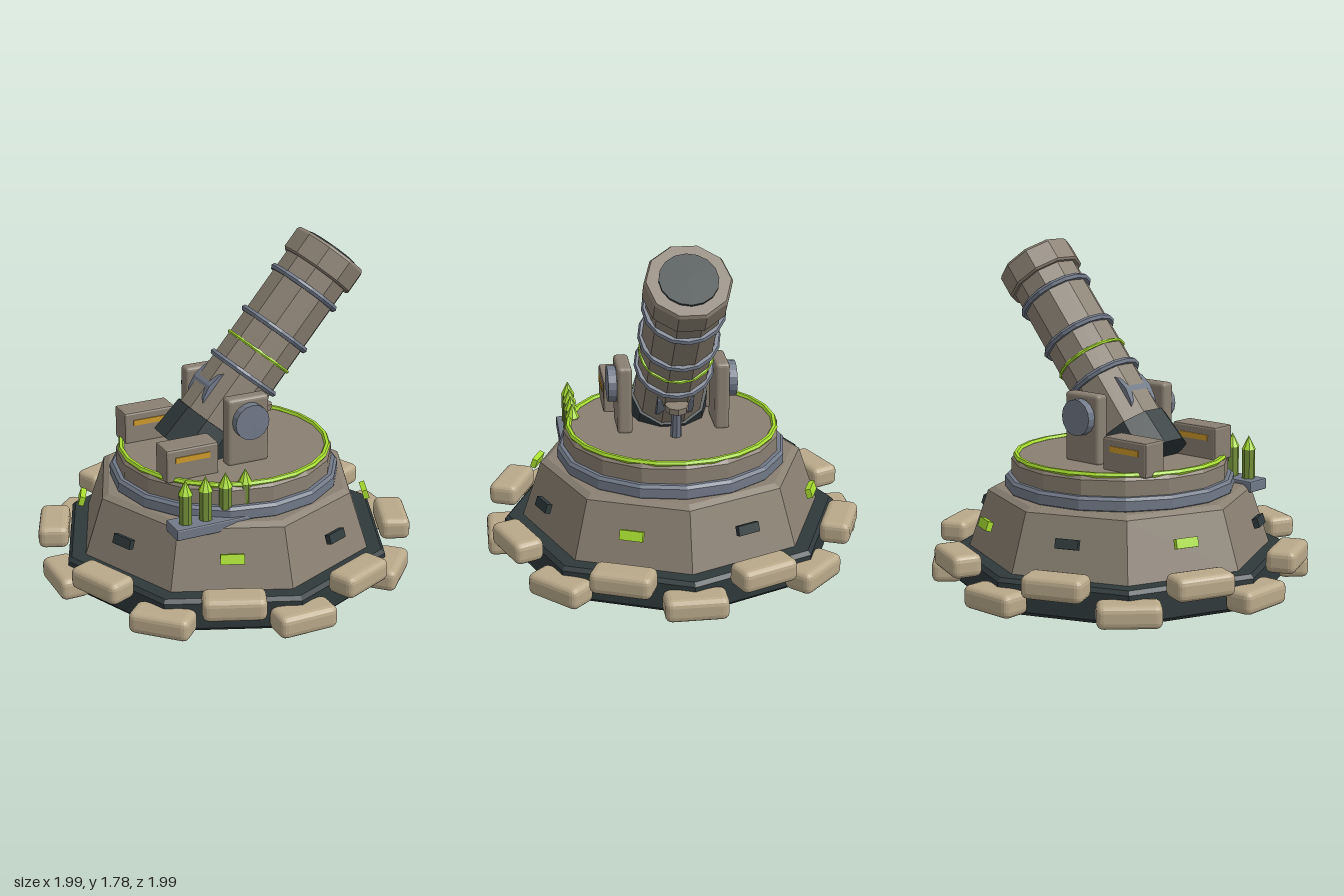
import * as THREE from 'three';
import { RoundedBoxGeometry } from 'three/addons/geometries/RoundedBoxGeometry.js';

const material = (name, color, flat = true) => {
  const m = new THREE.MeshStandardMaterial({ color, flatShading: flat });
  m.name = name;
  return m;
};

export function createModel() {
  const taupe = material('taupe armour', 0x8a8072);
  const dark = material('dark iron', 0x2f393b);
  const steel = material('blue grey steel', 0x717988);
  const lime = material('lime glow', 0xa8de30);
  const sand = material('sand canvas', 0xb9a98a);
  const amber = material('amber label', 0xcf9a2a);
  const olive = material('olive shell', 0x74903a);

  const model = new THREE.Group();
  model.name = 'mortarEmplacement';

  const add = (parent, name, geometry, mat, x = 0, y = 0, z = 0) => {
    const mesh = new THREE.Mesh(geometry, mat);
    mesh.name = name;
    mesh.position.set(x, y, z);
    parent.add(mesh);
    return mesh;
  };
  const lathe = (sides, ...pts) =>
    new THREE.LatheGeometry(pts.map(p => new THREE.Vector2(...p)), sides);
  const cyl = (rTop, rBottom, h, sides) => new THREE.CylinderGeometry(rTop, rBottom, h, sides);
  const ring = (r, tube, sides, tubeSides = 6) =>
    new THREE.TorusGeometry(r, tube, tubeSides, sides).rotateX(Math.PI / 2);

  // Octagonal foundation and sloped bunker
  add(model, 'foundation', lathe(8, [0, 0], [0.88, 0], [0.9, 0.02], [0.9, 0.16], [0.88, 0.18], [0, 0.18]), dark);
  add(model, 'bunker', lathe(8, [0, 0.17], [0.805, 0.17], [0.7, 0.48], [0.665, 0.5], [0, 0.5]), taupe);

  // Turntable
  add(model, 'turntableRing', lathe(16, [0, 0.49], [0.595, 0.49], [0.61, 0.505], [0.61, 0.555], [0.595, 0.57], [0, 0.57]), steel);
  add(model, 'platform', lathe(16, [0, 0.56], [0.575, 0.56], [0.575, 0.65], [0.56, 0.67], [0, 0.67]), taupe);
  add(model, 'platformGlowRing', ring(0.55, 0.016, 24), lime, 0, 0.672);

  // Two staggered rows of sandbags, with lamps and vents above them
  const bag = new RoundedBoxGeometry(0.32, 0.12, 0.16, 2, 0.035);
  for (let i = 0; i < 16; i++) {
    const a = i * Math.PI / 8, upper = i % 2;
    const b = add(model, 'sandbag', bag, sand, Math.sin(a) * 0.916, upper ? 0.197 : 0.076, Math.cos(a) * 0.916);
    b.rotation.y = a;
  }
  const plate = new THREE.BoxGeometry(0.12, 0.05, 0.03);
  for (let i = 0; i < 8; i++) {
    const a = (i + 0.5) * Math.PI / 4;
    const p = add(model, i % 2 ? 'wallLamp' : 'wallVent', plate, i % 2 ? lime : dark,
      Math.sin(a) * 0.762, 0.367, Math.cos(a) * 0.762);
    p.rotation.set(-0.32, a, 0, 'YXZ');
  }

  // Shell rack
  add(model, 'shellTray', new RoundedBoxGeometry(0.47, 0.06, 0.14, 1, 0.008), steel, -0.3, 0.49, 0.512);
  for (let i = 0; i < 4; i++) {
    const x = -0.46 + i * 0.11;
    add(model, 'shellBody', cyl(0.035, 0.035, 0.17, 8), olive, x, 0.597, 0.517);
    add(model, 'shellTip', cyl(0, 0.038, 0.075, 8), lime, x, 0.715, 0.517);
  }

  // Mirrored cheek brackets, trunnion caps and lockers
  for (const s of [1, -1]) {
    add(model, 'cheekBracket', new RoundedBoxGeometry(0.235, 0.37, 0.078, 2, 0.02), taupe, 0, 0.845, s * 0.257);
    add(model, 'trunnionCap', cyl(0.095, 0.095, 0.07, 16).rotateX(Math.PI / 2), steel, 0, 0.908, s * 0.305);
    add(model, 'locker', new RoundedBoxGeometry(0.29, 0.18, 0.14, 1, 0.012), taupe, -0.338, 0.75, s * 0.272);
    for (const side of [1, -1])
      add(model, 'lockerLabel', new THREE.BoxGeometry(0.19, 0.03, 0.008), amber, -0.338, 0.781, s * 0.272 + side * 0.071);
  }

  // Elevation strut under the barrel
  const strut = new THREE.Group();
  strut.name = 'elevationStrut';
  strut.position.set(0.185, 0.66, 0);
  strut.rotation.z = -0.17;
  model.add(strut);
  add(strut, 'strutRod', cyl(0.026, 0.03, 0.2, 8), steel, 0, 0.09);
  add(strut, 'strutHead', cyl(0.062, 0.062, 0.034, 8), taupe, 0, 0.188);

  // Inclined barrel, built along its own y axis from the trunnion
  const cannon = new THREE.Group();
  cannon.name = 'cannon';
  cannon.position.set(0, 0.91, 0);
  cannon.rotation.z = -40 * Math.PI / 180;
  model.add(cannon);
  add(cannon, 'barrel', cyl(0.19, 0.19, 1.06, 10), taupe, 0, 0.33);
  add(cannon, 'muzzleCollar', lathe(10, [0, 0.832], [0.205, 0.832], [0.215, 0.842], [0.215, 0.955], [0.205, 0.97], [0, 0.97]), taupe);
  add(cannon, 'bore', cyl(0.145, 0.145, 0.03, 16), dark, 0, 0.967);
  add(cannon, 'breech', cyl(0.205, 0.22, 0.2, 10), dark, 0, -0.23);
  add(cannon, 'pivotHub', cyl(0.184, 0.184, 0.19, 16).rotateX(Math.PI / 2), steel, 0, 0.02);
  for (const t of [0.177, 0.458, 0.724])
    add(cannon, 'barrelBand', ring(0.193, 0.018, 16), steel, 0, t);
  add(cannon, 'barrelGlowBand', ring(0.188, 0.01, 16), lime, 0, 0.313);

  return model;
}
